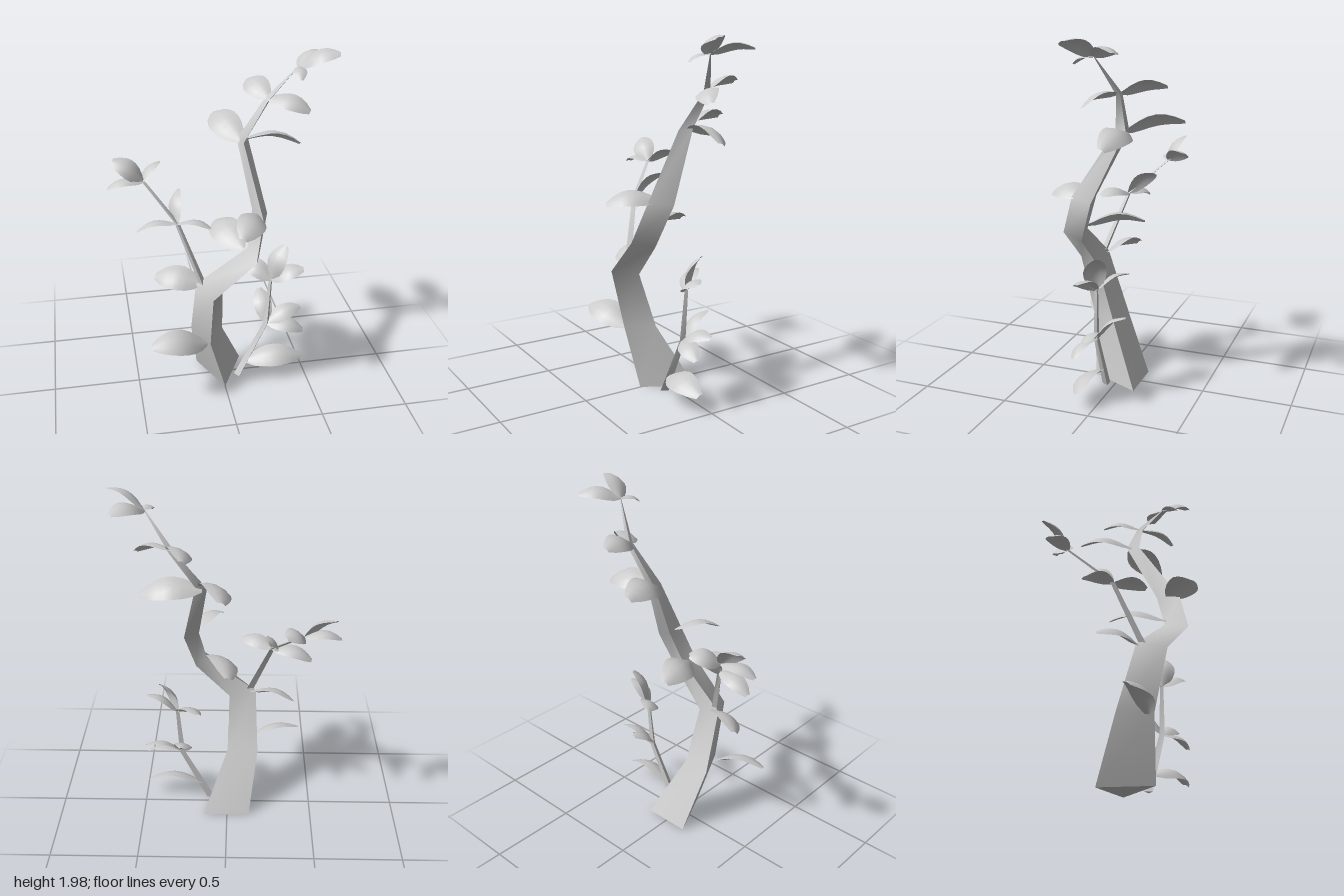
import * as THREE from 'three';

const bark = new THREE.MeshStandardMaterial({ color: 0xcccccc });
const foliage = new THREE.MeshStandardMaterial({ color: 0xcccccc, side: THREE.DoubleSide });

// Skin a stack of three-cornered sections (left back, front, right back).
// Each side is its own strip: smooth along its length, sharp at the three long edges.
function loft(sections) {
  const pos = [], index = [];
  for (let side = 0; side < 3; side++) {
    const start = pos.length / 3;
    sections.forEach((section, s) => {
      pos.push(...section[side], ...section[(side + 1) % 3]);
      if (s === 0) return;
      const a = start + 2 * (s - 1);
      index.push(a, a + 1, a + 3, a, a + 3, a + 2);
    });
  }
  const cap = (a, b, c) => {
    const n = pos.length / 3;
    pos.push(...a, ...b, ...c);
    index.push(n, n + 1, n + 2);
  };
  const first = sections[0], last = sections[sections.length - 1];
  cap(first[0], first[2], first[1]);
  cap(last[0], last[1], last[2]);
  const g = new THREE.BufferGeometry();
  g.setAttribute('position', new THREE.Float32BufferAttribute(pos, 3));
  g.setIndex(index);
  g.computeVertexNormals();
  return g;
}

// Small horizontal triangle around a point, for the thin twigs
const ring = ([x, y, z], r) => [[x - r, y, z - r * 0.6], [x, y, z + r], [x + r, y, z - r * 0.6]];

// Arched, slightly domed leaf running from base to tip, rolled about its length
function leafGeometry(base, tip, width, roll) {
  const start = new THREE.Vector3(...base);
  const along = new THREE.Vector3(...tip).sub(start);
  const length = along.length();
  const dir = along.clone().normalize();
  const level = new THREE.Vector3(0, 1, 0).cross(dir).normalize();
  const normal = new THREE.Vector3().crossVectors(dir, level).applyAxisAngle(dir, -roll);
  const side = new THREE.Vector3().crossVectors(normal, dir);

  const g = new THREE.PlaneGeometry(1, 1, 4, 7);
  const p = g.attributes.position;
  const v = new THREE.Vector3();
  for (let i = 0; i < p.count; i++) {
    const s = p.getX(i) * 2, t = p.getY(i) + 0.5;
    const half = (width / 2) * Math.pow(Math.sin(Math.PI * (0.03 + 0.92 * t)), 0.7);
    const lift = length * 0.17 * Math.sin(Math.PI * Math.pow(t, 1.15)) - half * 0.3 * s * s;
    v.copy(start).addScaledVector(along, t).addScaledVector(side, s * half).addScaledVector(normal, lift);
    p.setXYZ(i, v.x, v.y, v.z);
  }
  g.computeVertexNormals();
  return g;
}

export function createModel() {
  const model = new THREE.Group();
  const add = (parent, name, geometry, material) => {
    const mesh = new THREE.Mesh(geometry, material);
    mesh.name = name;
    parent.add(mesh);
  };

  // Bent three-sided trunk, tapering to a point
  add(model, 'trunk', loft([
    [[-0.13, 0, -0.13], [0, 0, 0.15], [0.14, 0, -0.13]],
    [[-0.18, 0.36, 0.02], [-0.095, 0.35, 0.2], [0, 0.35, 0.045]],
    [[-0.165, 0.72, 0.135], [-0.09, 0.69, 0.28], [-0.015, 0.67, 0.145]],
    [[0.12, 0.93, 0.15], [0.145, 0.9, 0.285], [0.185, 0.87, 0.16]],
    [[0.16, 1.13, 0.08], [0.195, 1.12, 0.21], [0.245, 1.1, 0.08]],
    [[0.105, 1.48, -0.09], [0.13, 1.48, -0.02], [0.165, 1.49, -0.09]],
    [[0.265, 1.7, -0.11], [0.275, 1.69, -0.08], [0.295, 1.69, -0.11]],
    ring([0.42, 1.89, -0.02], 0.003),
  ]), bark);

  // Two side twigs
  const leftNode = [0.27, 0.35, 0.04], leftTip = [0.29, 0.64, 0.03];
  const rightNode = [-0.25, 1.06, 0.04], rightTip = [-0.41, 1.24, -0.15];
  add(model, 'leftTwig', loft([
    ring([0.1, 0, 0.05], 0.024), ring(leftNode, 0.016), ring(leftTip, 0.01),
  ]), bark);
  add(model, 'rightTwig', loft([
    ring([-0.12, 0.7, 0.16], 0.02), ring(rightNode, 0.013), ring(rightTip, 0.009),
  ]), bark);

  const crown = [0.42, 1.89, -0.02], bend = [0.275, 1.7, -0.1];
  const leafSets = {
    // base, tip, width, roll
    trunkLeaves: [
      [[-0.11, 0.34, 0.17], [-0.43, 0.4, 0.24], 0.17, 0.5],
      [[-0.13, 0.72, 0.13], [-0.38, 0.73, 0.02], 0.16, 0.55],
      [[0.09, 0.94, 0.17], [-0.01, 0.97, -0.14], 0.18, 0.45],
      [[0.18, 1.13, 0.14], [0.05, 1.11, 0.38], 0.16, 0.4],
      [[0.12, 1.48, -0.06], [0.02, 1.54, -0.37], 0.17, 0.5],
      [[0.13, 1.48, -0.09], [0.46, 1.44, -0.07], 0.16, 0.45],
      [bend, [0.48, 1.65, 0.02], 0.13, -0.4],
      [bend, [0.21, 1.74, -0.33], 0.14, 0.5],
    ],
    crownLeaves: [
      [crown, [0.61, 1.97, 0.07], 0.13, -0.4],
      [crown, [0.57, 1.92, -0.18], 0.12, 0.3],
      [crown, [0.4, 1.85, 0.1], 0.07, 0],
    ],
    rightTwigLeaves: [
      [rightTip, [-0.57, 1.36, -0.2], 0.13, 0.5],
      [rightTip, [-0.61, 1.22, -0.13], 0.11, 0],
      [rightTip, [-0.31, 1.3, -0.28], 0.12, 0.5],
      [rightNode, [-0.47, 1.01, 0], 0.11, -0.2],
      [rightNode, [-0.08, 1.07, 0.15], 0.11, 0.25],
      [rightNode, [-0.22, 1.19, -0.13], 0.1, 0.8],
    ],
    leftTwigLeaves: [
      [leftTip, [0.38, 0.84, 0], 0.13, -0.3],
      [leftTip, [0.47, 0.72, 0.08], 0.12, -0.4],
      [leftTip, [0.16, 0.71, -0.11], 0.12, 0.45],
      [leftNode, [0.26, 0.49, -0.13], 0.11, 0.2],
      [leftNode, [0.48, 0.42, 0], 0.11, -0.45],
      [leftNode, [0.48, 0.31, 0.09], 0.11, -0.4],
      [[0.14, 0.1, 0.05], [0.48, 0.11, 0.07], 0.15, -0.5],
    ],
  };
  for (const [name, leaves] of Object.entries(leafSets)) {
    const group = new THREE.Group();
    group.name = name;
    for (const leaf of leaves) add(group, 'leaf', leafGeometry(...leaf), foliage);
    model.add(group);
  }
  return model;
}
